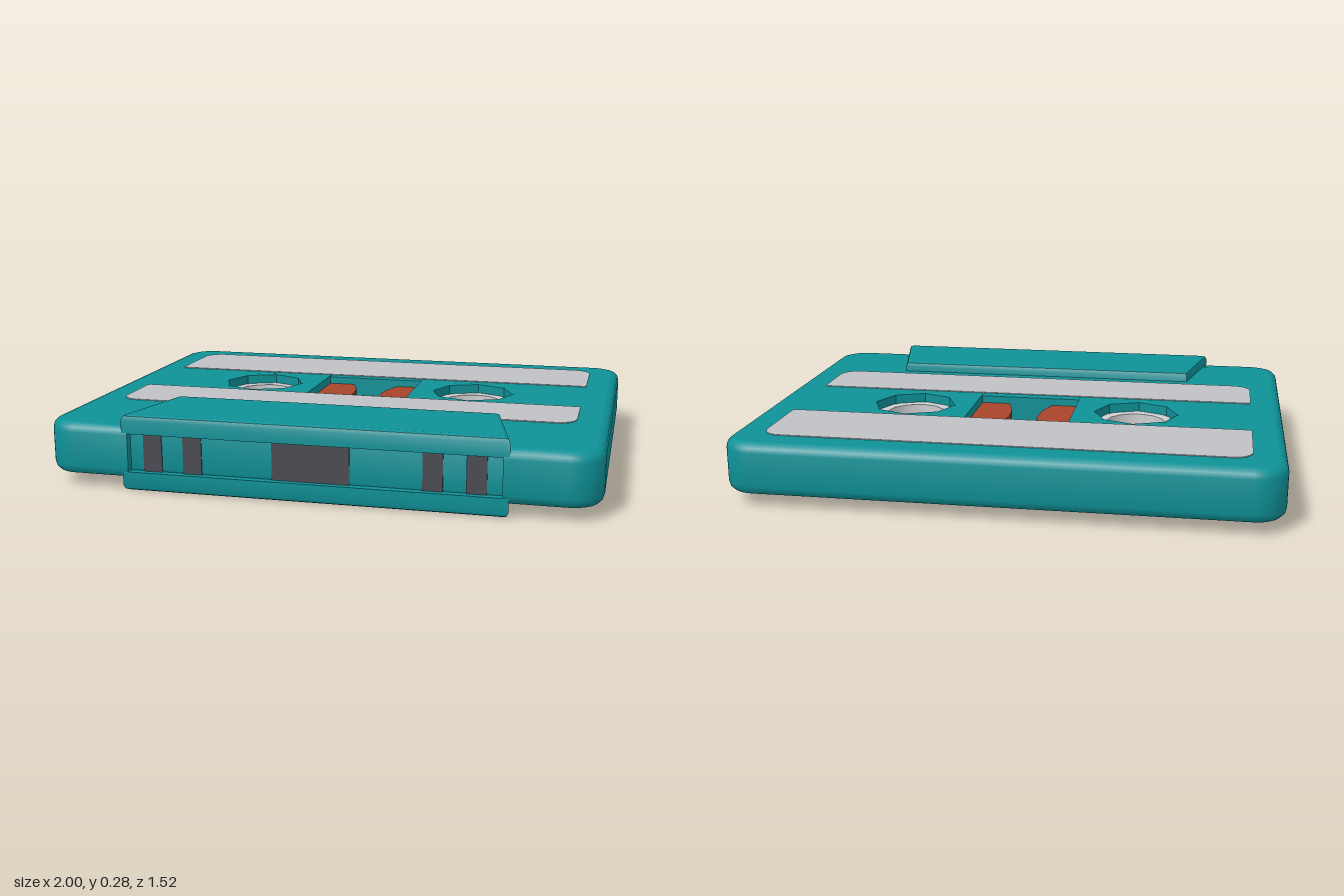
import * as THREE from 'three';
import { toCreasedNormals } from 'three/addons/utils/BufferGeometryUtils.js';

const HUB_X = 0.44, HUB_Z = -0.11, MID_Y = 0.14;

const material = (name, color) => new THREE.MeshStandardMaterial({ name, color });

// Extrudes a plan drawn in x and z downwards from the height top; the size includes the bevel
function slab(shape, top, height, bevel, segments, rule) {
  const geo = new THREE.ExtrudeGeometry(shape, {
    depth: height - 2 * bevel, bevelEnabled: bevel > 0, bevelSize: bevel,
    bevelThickness: bevel, bevelSegments: segments, curveSegments: 6,
  });
  geo.rotateX(Math.PI / 2).translate(0, top - bevel, 0);
  const p = geo.attributes.position, v = new THREE.Vector3();
  if (rule) {
    for (let i = 0; i < p.count; i++) {
      rule(v.fromBufferAttribute(p, i));
      p.setXYZ(i, v.x, v.y, v.z);
    }
  }
  const out = toCreasedNormals(geo, 0.6);
  // Keep level faces perfectly flat beside their soft edges
  const q = out.attributes.position, n = out.attributes.normal;
  for (let i = 0; i < q.count; i += 3) {
    const y = q.getY(i);
    if (Math.abs(q.getY(i + 1) - y) + Math.abs(q.getY(i + 2) - y) > 1e-5) continue;
    for (let k = i; k < i + 3; k++) n.setXYZ(k, 0, y > MID_Y ? 1 : -1, 0);
  }
  return out;
}

const polygon = (points) => new THREE.Shape(points.map(([x, z]) => new THREE.Vector2(x, z)));

// Rectangle with separate corner radii at its back and front
function roundedPlan(w, back, front, rBack, rFront) {
  const s = new THREE.Shape();
  s.absarc(-w + rBack, back + rBack, rBack, Math.PI, Math.PI * 1.5);
  s.absarc(w - rBack, back + rBack, rBack, -Math.PI / 2, 0);
  s.absarc(w - rFront, front - rFront, rFront, 0, Math.PI / 2);
  s.absarc(-w + rFront, front - rFront, rFront, Math.PI / 2, Math.PI);
  return s;
}

function bodyGeometry() {
  const b = 0.035, w = 1 - b, d = 0.76 - b, r = 0.08;
  const nx = 0.67 + b, nz = 0.73 - b;
  // Outline with a shallow notch in the front edge
  const s = new THREE.Shape();
  s.absarc(-w + r, -d + r, r, Math.PI, Math.PI * 1.5);
  s.absarc(w - r, -d + r, r, -Math.PI / 2, 0);
  s.absarc(w - r, d - r, r, 0, Math.PI / 2);
  s.lineTo(nx, d);
  s.lineTo(nx, nz);
  s.lineTo(-nx, nz);
  s.lineTo(-nx, d);
  s.absarc(-w + r, d - r, r, Math.PI / 2, Math.PI);
  // Eight-sided hub holes and the middle window
  for (const side of [-1, 1]) {
    const pts = [];
    for (let i = 0; i < 8; i++) {
      const a = i * Math.PI / 4;
      pts.push([side * HUB_X + 0.17 * Math.cos(a), HUB_Z + 0.17 * Math.sin(a)]);
    }
    s.holes.push(polygon(pts));
  }
  s.holes.push(polygon([[-0.2, -0.295], [0.2, -0.295], [0.2, 0.065], [-0.2, 0.065]]));
  // Narrow the bevel around the openings
  return slab(s, 0.24, 0.195, b, 3, (v) => {
    const cx = Math.sign(v.x) * HUB_X;
    const dist = Math.hypot(v.x - cx, v.z - HUB_Z);
    const rim = Math.abs(v.y - 0.1425) > 0.095;
    if (dist < 0.2) {
      const k = (rim ? 0.17 : 0.16) / dist;
      v.x = cx + (v.x - cx) * k;
      v.z = HUB_Z + (v.z - HUB_Z) * k;
    } else if (Math.abs(v.x) < 0.25 && Math.abs(v.z - HUB_Z) < 0.25) {
      v.x = Math.sign(v.x) * 0.2;
      v.z = -0.115 + Math.sign(v.z + 0.115) * (rim ? 0.18 : 0.165);
    }
  });
}

export function createModel() {
  const model = new THREE.Group();
  model.name = 'cassette';
  const teal = material('teal plastic', 0x0e9197);
  const paper = material('label grey', 0xbfc1c5);
  const white = material('hub light grey', 0xcfcfd2);
  const brown = material('tape brown', 0xa8452a);
  const dark = material('dark slots', 0x4a4a52);

  const add = (name, geometry, mat) => {
    const mesh = new THREE.Mesh(geometry, mat);
    mesh.name = name;
    model.add(mesh);
    return mesh;
  };
  // Turns a part over onto the underside
  const flip = (mesh, sumY) => {
    mesh.rotation.z = Math.PI;
    mesh.position.y = sumY;
  };

  add('body', bodyGeometry(), teal);

  // Raised front section, one slab on each face
  const c = 0.02;
  const ridgePlan = polygon([
    [-0.62 + c, 0.405 + c], [0.62 - c, 0.405 + c], [0.69 - c, 0.76 - c], [-0.69 + c, 0.76 - c],
  ]);
  const ridge = slab(ridgePlan, 0.28, 0.12, c, 2, (v) => { v.y = Math.max(v.y, 0.21); });
  // The clamped underside faces down
  const rp = ridge.attributes.position, rn = ridge.attributes.normal;
  for (let i = 0; i < rp.count; i += 3) {
    if ([0, 1, 2].every((k) => rp.getY(i + k) < 0.2101)) {
      for (let k = 0; k < 3; k++) rn.setXYZ(i + k, 0, -1, 0);
    }
  }
  add('ridgeTop', ridge, teal);
  flip(add('ridgeBottom', ridge, teal), 0.28);

  // Labels on both faces
  const labels = {
    labelBack: slab(roundedPlan(0.88, -0.64, -0.3, 0.07, 0.012), 0.243, 0.006, 0, 1),
    labelFront: slab(roundedPlan(0.88, 0.08, 0.355, 0.012, 0.07), 0.243, 0.006, 0, 1),
  };
  for (const [name, geo] of Object.entries(labels)) {
    add(name + 'Top', geo, paper);
    flip(add(name + 'Bottom', geo, paper), 0.285);
  }

  // Hubs and wound tape
  const ringProfile = [[0.115, 0.08], [0.158, 0.08], [0.158, 0.2], [0.115, 0.2], [0.115, 0.08]]
    .map(([x, y]) => new THREE.Vector2(x, y));
  const ring = toCreasedNormals(new THREE.LatheGeometry(ringProfile, 12), 0.6);
  const reelPlan = new THREE.Shape().absarc(0, 0, 0.385, 0, Math.PI * 2);
  reelPlan.holes.push(new THREE.Path().absarc(0, 0, 0.2, 0, Math.PI * 2, true));
  const reel = new THREE.ExtrudeGeometry(reelPlan, { depth: 0.13, bevelEnabled: false, curveSegments: 24 });
  reel.rotateX(Math.PI / 2).translate(0, 0.2075, 0);
  for (const [side, x] of [['left', HUB_X], ['right', -HUB_X]]) {
    add(side + 'Hub', ring, white).position.set(x, 0, HUB_Z);
    add(side + 'TapeReel', toCreasedNormals(reel, 0.6), brown).position.set(x, 0, HUB_Z);
  }

  // Dark slots in the front recess: centre x and width
  for (const [x, w] of [[-0.585, 0.07], [-0.435, 0.07], [0, 0.28], [0.43, 0.07], [0.58, 0.07]]) {
    add('frontSlot', new THREE.BoxGeometry(w, 0.14, 0.008), dark).position.set(x, MID_Y, 0.73);
  }
  return model;
}
